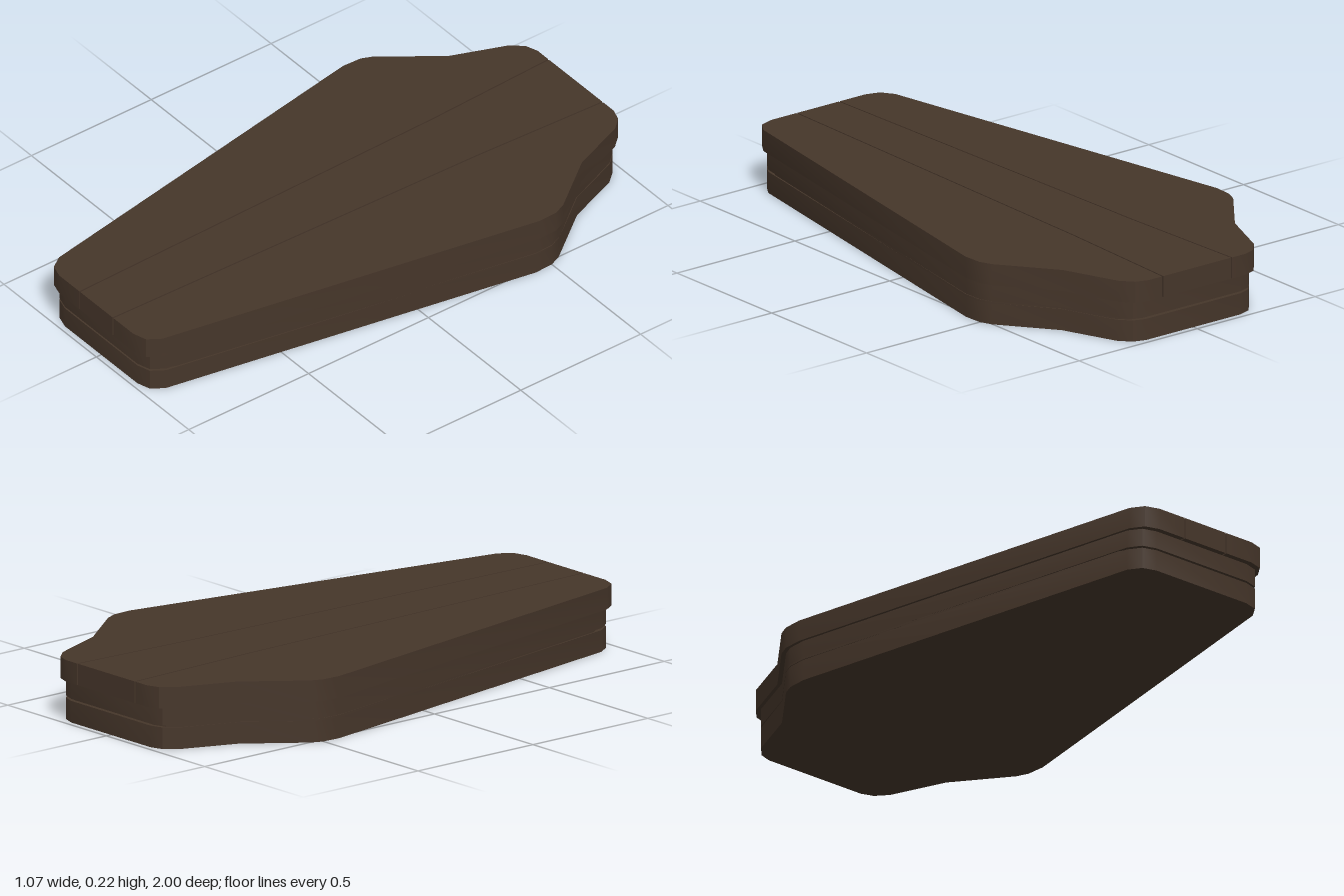
import * as THREE from 'three';
import { toCreasedNormals } from 'three/addons/utils/BufferGeometryUtils.js';

const wood = new THREE.MeshStandardMaterial({ color: 0x46362a });

// Right half of the outline as [x, z], from head to foot
const HALF = [
  [0.205, -1], [0.25, -0.985], [0.287, -0.943], [0.365, -0.745], [0.512, -0.553],
  [0.53, -0.51], [0.533, -0.44], [0.28, 0.94], [0.25, 0.985], [0.2, 1],
];
// Seam between lid boards as [x, z], from foot to head
const SEAM = [[0.09, 1], [0.124, -0.5], [0.146, -1]];
const GAP = 0.0025;

const mirror = (pts) => pts.map(([x, z]) => [-x, z]).reverse();
const shift = (pts, dx) => pts.map(([x, z]) => [x + dx, z]);

// Extrudes an [x, z] outline upward from y0 to y1
function slab(name, pts, y0, y1) {
  const shape = new THREE.Shape(pts.map(([x, z]) => new THREE.Vector2(x, -z)));
  const geo = new THREE.ExtrudeGeometry(shape, { depth: y1 - y0, bevelEnabled: false });
  geo.rotateX(-Math.PI / 2);
  geo.translate(0, y0, 0);
  const mesh = new THREE.Mesh(toCreasedNormals(geo, 0.5), wood);
  mesh.name = name;
  return mesh;
}

export function createModel() {
  const model = new THREE.Group();
  model.name = 'coffin';
  const outline = [...HALF, ...mirror(HALF)];
  const scaled = (sx, sz, dz = 0) => outline.map(([x, z]) => [x * sx, z * sz + dz]);

  // Box: two board courses around a thin recessed core
  model.add(slab('lowerBoards', scaled(0.98, 0.98), 0, 0.074));
  model.add(slab('jointCore', scaled(0.985, 0.953, -0.012), 0.074, 0.081));
  model.add(slab('upperBoards', scaled(0.98, 0.98), 0.081, 0.143));

  // Lid: a centre board between two mirrored side boards
  const lid = new THREE.Group();
  lid.name = 'lid';
  const inner = shift(SEAM, -GAP);
  const side = [...HALF, ...shift(SEAM, GAP)];
  lid.add(slab('lidCentreBoard', [...[...inner].reverse(), ...mirror(inner).reverse()], 0.143, 0.217));
  lid.add(slab('lidLeftBoard', side, 0.143, 0.217));
  lid.add(slab('lidRightBoard', mirror(side), 0.143, 0.217));
  model.add(lid);
  return model;
}
